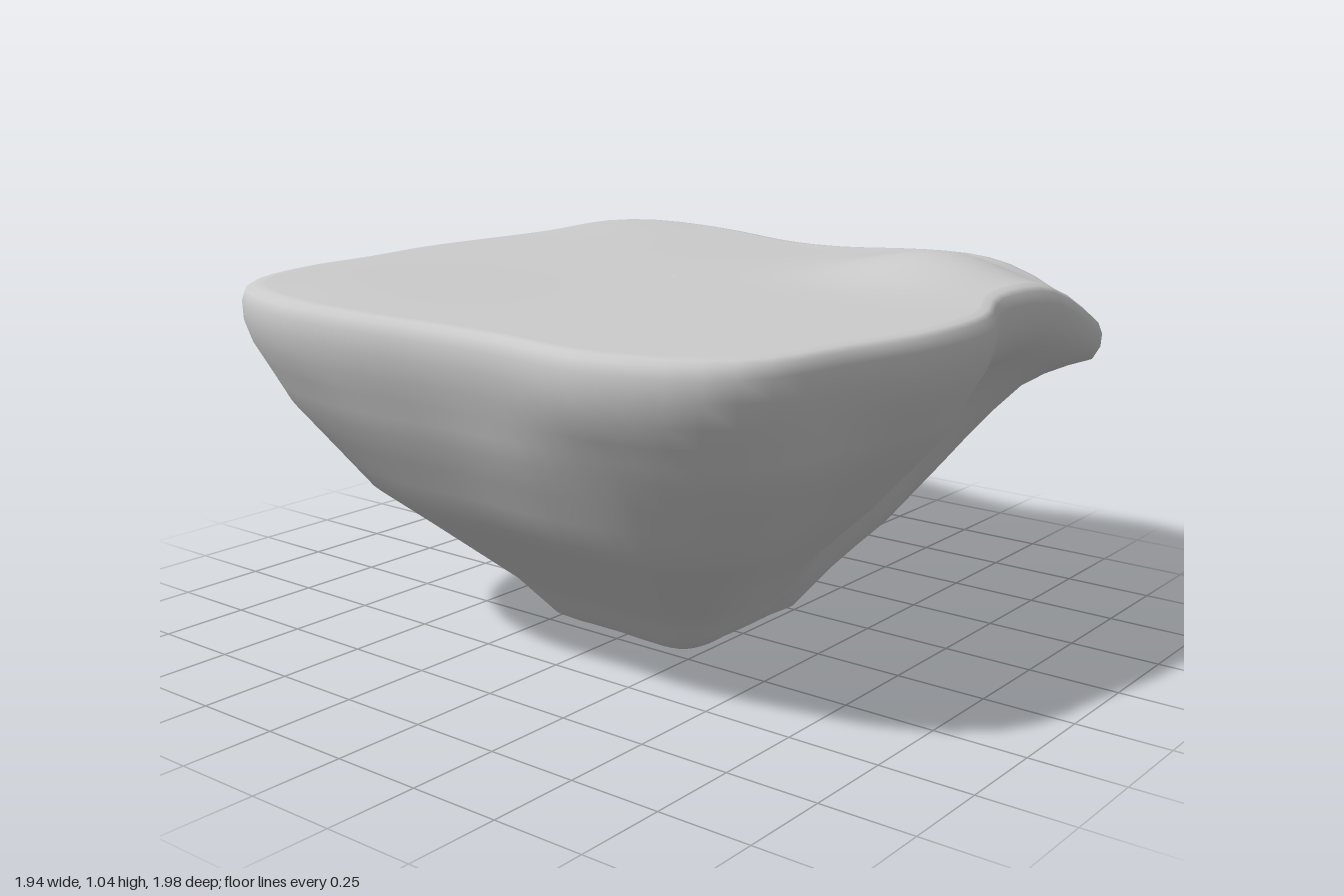
import * as THREE from 'three';

const SEGMENTS = 96;

// Outline radii, evenly spaced in angle from +x towards +z.
const RIM = [0.88, 0.975, 1.105, 1.225, 1.043, 0.92, 0.975, 1.02, 1.07, 1.185, 1.125, 0.99,
  0.955, 1.01, 1.10, 1.155, 1.088, 1.0, 0.995, 1.01, 1.075, 1.255, 1.10, 0.925];
const UNDERSIDE = [0.69, 0.77, 1.0, 0.75, 0.87, 0.93, 1.08, 0.94, 0.87, 0.95, 1.04, 0.93, 0.87, 0.90, 1.08, 0.77];
const WAIST = [0.58, 0.60, 0.78, 0.57, 0.66, 0.72, 0.88, 0.79, 0.73, 0.78, 0.84, 0.74, 0.68, 0.70, 0.82, 0.64];
const LEDGE = [0.49, 0.51, 0.62, 0.47, 0.48, 0.53, 0.64, 0.57, 0.52, 0.56, 0.62, 0.57, 0.53, 0.53, 0.60, 0.52];
const FOOT = [0.37, 0.39, 0.46, 0.39, 0.36, 0.40, 0.46, 0.40, 0.36, 0.39, 0.45, 0.41, 0.39, 0.41, 0.46, 0.40];
const BASE = [0.29, 0.30, 0.36, 0.29, 0.27, 0.29, 0.35, 0.29, 0.26, 0.28, 0.34, 0.30, 0.29, 0.31, 0.36, 0.31];

// Periodic smooth lookup of a radius table, t in 0..1
function radiusAt(table, t) {
  const n = table.length, f = t * n, i = Math.floor(f), u = f - i;
  const [a, b, c, d] = [-1, 0, 1, 2].map(k => table[(i + k + n) % n]);
  return b + 0.5 * u * (c - a + u * (2 * a - 5 * b + 4 * c - d + u * (3 * (b - c) + d - a)));
}

const bump = (x, z, cx, cz, s) => Math.exp(-((x - cx) ** 2 + (z - cz) ** 2) / (2 * s * s));

// Height offset of the ground: a mound beside a sunken front corner
function relief(x, z) {
  return 0.07 * bump(x, z, 0.47, 0.58, 0.19)
    - 0.15 * bump(x, z, 0.88, 0.9, 0.2)
    + 0.012 * bump(x, z, -0.72, -0.5, 0.25)
    + 0.012 * bump(x, z, 0.75, -0.8, 0.2)
    - 0.012 * bump(x, z, 0.85, -0.15, 0.25);
}

// Skin a list of rings { table, scale, y, follow } from top to bottom
function skin(rings) {
  const pos = [], index = [];
  for (const { table, scale, y, follow } of rings) {
    for (let j = 0; j < SEGMENTS; j++) {
      const t = j / SEGMENTS, a = t * Math.PI * 2, r = radiusAt(table, t) * scale;
      const x = r * Math.cos(a), z = r * Math.sin(a);
      pos.push(x, y + follow * relief(x, z), z);
    }
  }
  for (let i = 0; i < rings.length - 1; i++) {
    for (let j = 0; j < SEGMENTS; j++) {
      const k = (j + 1) % SEGMENTS;
      const a = i * SEGMENTS + j, b = i * SEGMENTS + k, c = a + SEGMENTS, d = b + SEGMENTS;
      index.push(a, b, c, b, d, c);
    }
  }
  const geo = new THREE.BufferGeometry();
  geo.setAttribute('position', new THREE.Float32BufferAttribute(pos, 3));
  geo.setIndex(index);
  geo.computeVertexNormals();
  return geo;
}

const ring = (table, scale, y, follow = 0) => ({ table, scale, y, follow });

export function createModel() {
  const group = new THREE.Group();
  group.name = 'floatingRock';
  const material = new THREE.MeshStandardMaterial({ color: 0xcccccc, roughness: 0.9 });
  const add = (name, rings) => {
    const mesh = new THREE.Mesh(skin(rings), material);
    mesh.name = name;
    group.add(mesh);
  };

  // Gently uneven ground on top
  const top = [];
  for (let i = 0; i <= 16; i++) top.push(ring(RIM, 0.001 + 0.949 * i / 16, 0.98, 1));
  add('topGround', top);

  // Rounded lip, tapering sides and flat foot
  const sides = [
    ring(RIM, 0.95, 0.98, 1),
    ring(RIM, 0.975, 0.978, 1),
    ring(RIM, 0.99, 0.968, 1),
    ring(RIM, 1.0, 0.94, 1),
    ring(RIM, 0.998, 0.89, 0.9),
    ring(RIM, 0.98, 0.83, 0.75),
  ];
  const levels = [ring(RIM, 0.98, 0.83, 0.75), ring(UNDERSIDE, 1, 0.67, 0.3), ring(WAIST, 1, 0.44),
    ring(LEDGE, 1, 0.27), ring(FOOT, 1, 0.14), ring(BASE, 1, 0.03)];
  // Blend neighbouring outlines so each slope reads as a soft plane
  const STEPS = 3;
  for (let i = 1; i < levels.length; i++) {
    const p = levels[i - 1], q = levels[i];
    for (let s = 1; s <= STEPS; s++) {
      const u = s / STEPS;
      const table = Array.from({ length: 48 }, (_, k) => THREE.MathUtils.lerp(
        radiusAt(p.table, k / 48) * p.scale, radiusAt(q.table, k / 48) * q.scale, u));
      sides.push(ring(table, 1, THREE.MathUtils.lerp(p.y, q.y, u), THREE.MathUtils.lerp(p.follow, q.follow, u)));
    }
  }
  sides.push(ring(BASE, 0.88, 0.012), ring(BASE, 0.6, 0.002), ring(BASE, 0.001, 0));
  add('rockBody', sides);

  return group;
}
